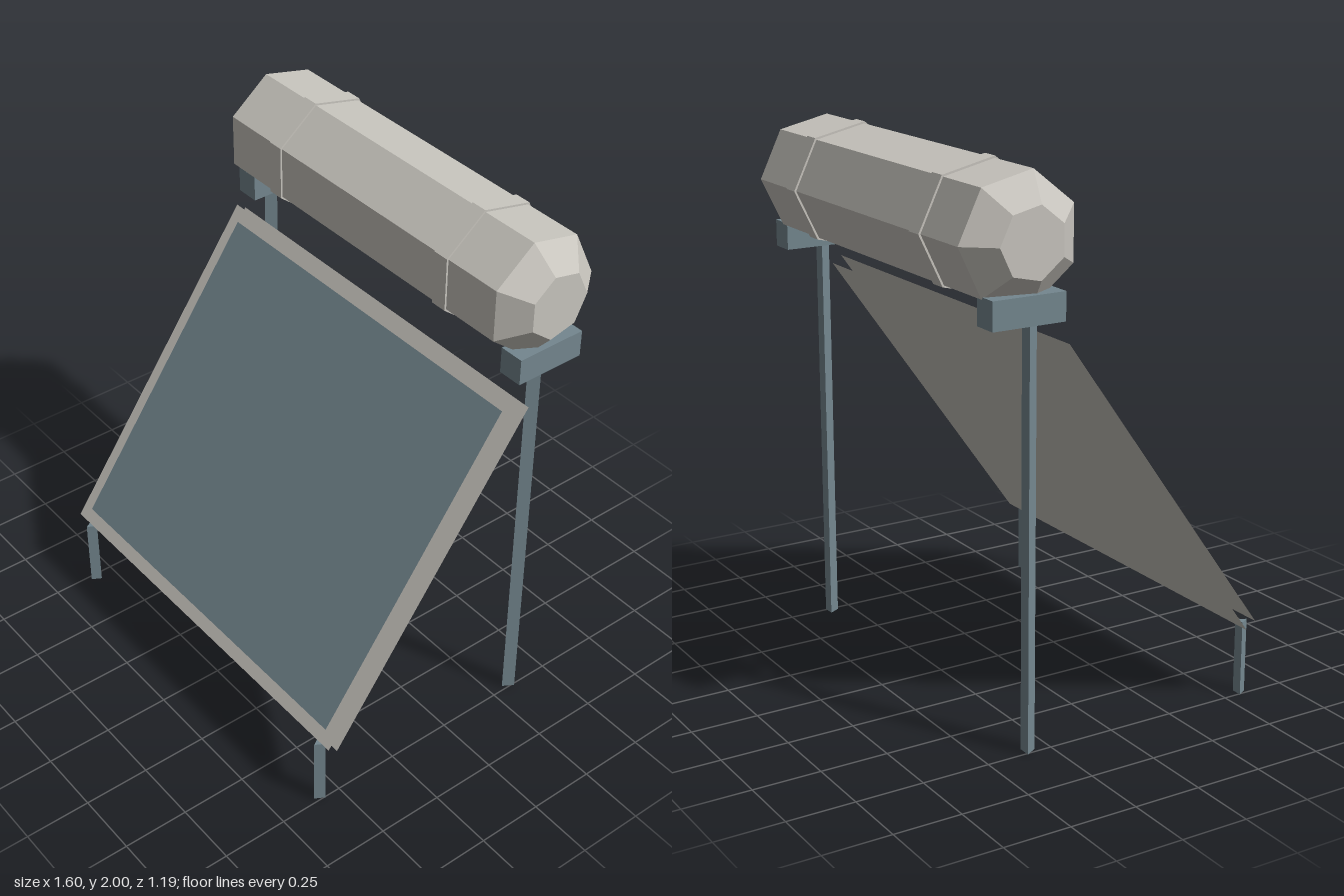
import * as THREE from 'three';

export function createModel() {
  const model = new THREE.Group();
  const pale = new THREE.MeshStandardMaterial({ color: 0xc8c5be, flatShading: true, side: THREE.DoubleSide });
  pale.name = 'paleMetal';
  const blue = new THREE.MeshStandardMaterial({ color: 0x74878f, flatShading: true, side: THREE.DoubleSide });
  blue.name = 'blueGrey';

  const add = (parent, name, geometry, material, x = 0, y = 0, z = 0) => {
    const mesh = new THREE.Mesh(geometry, material);
    mesh.name = name;
    mesh.position.set(x, y, z);
    parent.add(mesh);
    return mesh;
  };

  // Seven-sided storage tank lying along x, with tapered ends and two straps
  const tank = new THREE.Group();
  tank.name = 'tank';
  tank.position.set(0, 1.77, -0.36);
  model.add(tank);
  const profile = [[0, -0.8], [0.125, -0.8], [0.227, -0.715], [0.227, 0.715], [0.125, 0.8], [0, 0.8]]
    .map(([r, y]) => new THREE.Vector2(r, y));
  const body = new THREE.LatheGeometry(profile, 7, Math.PI).rotateZ(Math.PI / 2);
  add(tank, 'tankBody', body, pale);
  const strap = new THREE.CylinderGeometry(0.235, 0.235, 0.063, 7, 1, false, Math.PI).rotateZ(Math.PI / 2);

  for (const s of [-1, 1]) {
    add(tank, 'tankStrap', strap, pale, s * 0.45);
    // Cradle blocks and three-sided legs
    add(model, 'tankCradle', new THREE.BoxGeometry(0.095, 0.1, 0.275), blue, s * 0.733, 1.55, -0.3625);
    add(model, 'rearLeg', new THREE.CylinderGeometry(0.0275, 0.0275, 1.5, 3), blue, s * 0.733, 0.75, -0.333);
    add(model, 'frontLeg', new THREE.CylinderGeometry(0.0235, 0.0235, 0.28, 3), blue, s * 0.733, 0.14, 0.576);
  }

  // Tilted collector: open-sided front and back sheets with a glass plate
  const collector = new THREE.Group();
  collector.name = 'collector';
  collector.position.set(0, 0.863, 0.182);
  collector.rotation.x = -0.62;
  model.add(collector);
  add(collector, 'collectorFrame', new THREE.PlaneGeometry(1.595, 1.39), pale);
  add(collector, 'collectorBack', new THREE.PlaneGeometry(1.595, 1.39).rotateY(Math.PI), pale, 0, 0, -0.046);
  add(collector, 'collectorGlass', new THREE.PlaneGeometry(1.495, 1.285), blue, 0, 0, 0.006);

  return model;
}
